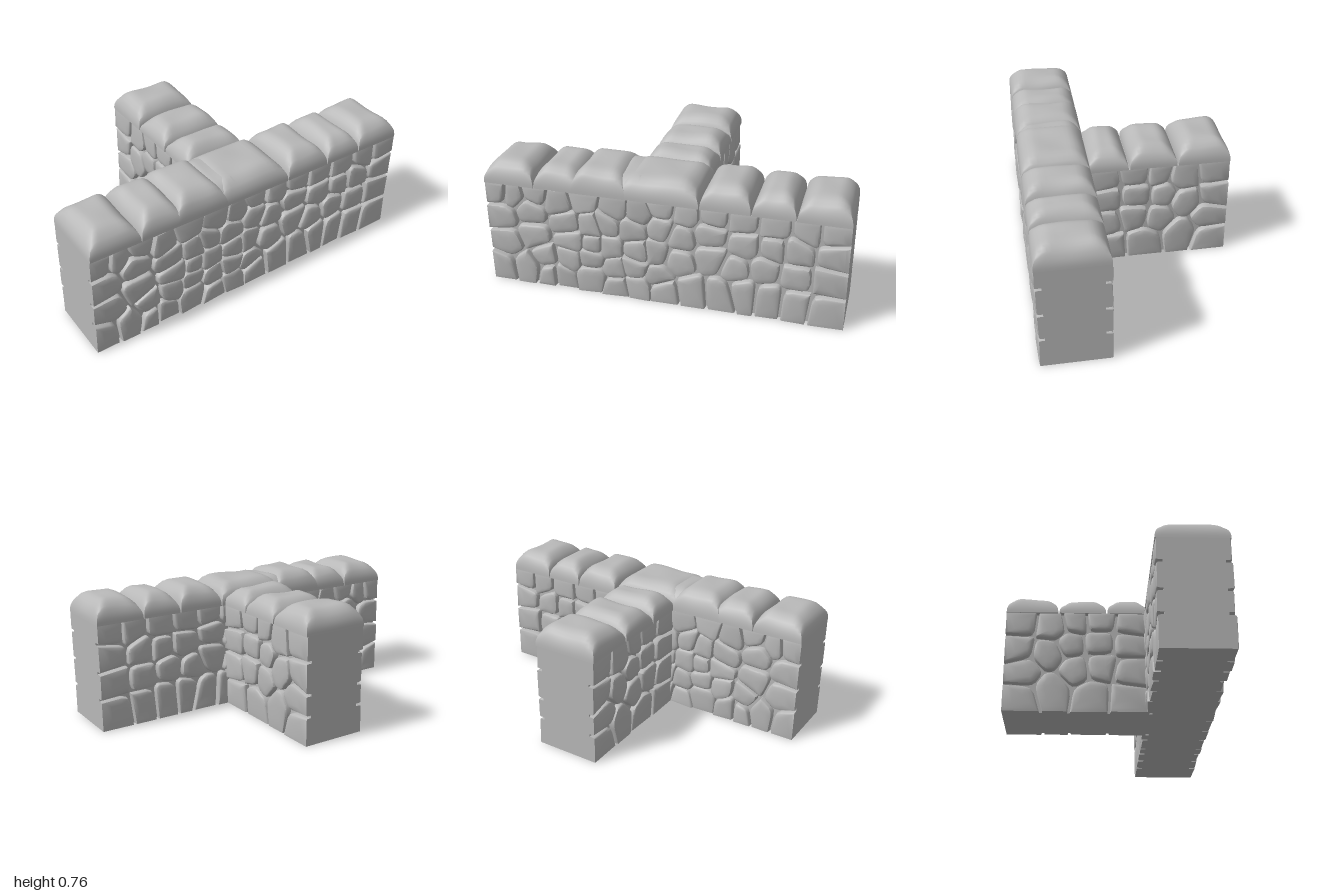
import * as THREE from 'three';
import { mergeGeometries, toCreasedNormals } from 'three/addons/utils/BufferGeometryUtils.js';

const WALL_H = 0.615;

function makeRandom(seed) {
  return () => {
    seed = (seed * 16807) % 2147483647;
    return seed / 2147483647;
  };
}

// Keep the side of a polygon nearer to seed a than b, leaving half a joint free
function clipCell(poly, a, b, gap) {
  const dx = b[0] - a[0], dy = b[1] - a[1], len = Math.hypot(dx, dy);
  const side = (p) => ((p[0] - (a[0] + b[0]) / 2) * dx + (p[1] - (a[1] + b[1]) / 2) * dy) / len + gap / 2;
  const out = [];
  poly.forEach((p, i) => {
    const q = poly[(i + 1) % poly.length], sp = side(p), sq = side(q);
    if (sp <= 0) out.push(p);
    if (sp * sq < 0) {
      const t = sp / (sp - sq);
      out.push([p[0] + (q[0] - p[0]) * t, p[1] + (q[1] - p[1]) * t]);
    }
  });
  return out;
}

// One domed stone from rings that shrink as they rise off the core
function stoneGeometry(cell, u0, u1, rough, rnd) {
  const edge = (v, a, b) => Math.abs(v - a) < 1e-5 || Math.abs(v - b) < 1e-5;
  const outline = [];
  cell.forEach((p, i) => {
    if (edge(p[0], u0, u1) || edge(p[1], 0, WALL_H)) return outline.push(p);
    const a = cell[(i + cell.length - 1) % cell.length], b = cell[(i + 1) % cell.length];
    for (const t of [0, 0.5, 1]) {
      const wa = 0.28 * (1 - t) ** 2, wb = 0.28 * t * t;
      outline.push([0, 1].map((k) => p[k] + (a[k] - p[k]) * wa + (b[k] - p[k]) * wb));
    }
  });
  const n = outline.length;
  const c = [0, 1].map((k) => outline.reduce((s, p) => s + p[k], 0) / n);
  const tilt = rough ? 0.16 : 0.06;
  const tu = (rnd() - 0.5) * tilt, ty = (rnd() - 0.5) * tilt, lift = (rnd() - 0.5) * (rough ? 0.01 : 0.004);
  const pos = [], index = [];
  const rings = [[1, 0], [0.985, 0.024], [0.94, 0.032], [0.82, 0.036], [0.5, 0.039]];
  for (const [s, h] of rings) {
    for (const p of outline) {
      const u = s > 0.9 && edge(p[0], u0, u1) ? p[0] : c[0] + (p[0] - c[0]) * s;
      const y = s > 0.9 && edge(p[1], 0, WALL_H) ? p[1] : c[1] + (p[1] - c[1]) * s;
      pos.push(u, y, h ? h + lift + (u - c[0]) * tu + (y - c[1]) * ty : 0);
    }
  }
  pos.push(c[0], c[1], 0.04 + lift);
  for (let r = 0; r < rings.length; r++) {
    for (let i = 0; i < n; i++) {
      const a = r * n + i, b = r * n + (i + 1) % n;
      if (r === rings.length - 1) index.push(a, b, rings.length * n);
      else index.push(a, b, b + n, a, b + n, a + n);
    }
  }
  const geo = new THREE.BufferGeometry();
  geo.setAttribute('position', new THREE.Float32BufferAttribute(pos, 3));
  geo.setIndex(index);
  return toCreasedNormals(geo, 0.75);
}

// A face of fitted stones; seeds are [u, y, rough]
function stoneFace(name, seeds, u0, u1, material, rnd) {
  const geos = [];
  for (const a of seeds) {
    let cell = [[u0, 0], [u1, 0], [u1, WALL_H], [u0, WALL_H]];
    for (const b of seeds) {
      if (b !== a && cell.length) cell = clipCell(cell, a, b, a[2] && b[2] ? 0.002 : 0.014);
    }
    if (cell.length > 2) geos.push(stoneGeometry(cell, u0, u1, a[2], rnd));
  }
  const mesh = new THREE.Mesh(mergeGeometries(geos), material);
  mesh.name = name;
  return mesh;
}

// Rounded coping stone: a box whose top is domed and sides lean in
function copingGeometry(w, top, d, rnd) {
  const h = top - WALL_H;
  const geo = new THREE.BoxGeometry(w, 1, d, 14, 6, 14);
  const p = geo.attributes.position;
  const f1 = rnd() * 6, f2 = rnd() * 6, slope = (rnd() - 0.5) * 0.012;
  for (let i = 0; i < p.count; i++) {
    const x = p.getX(i), z = p.getZ(i), t = p.getY(i) + 0.5;
    const ex = Math.max(0, Math.abs(x) - w / 2 + 0.08) / 0.08;
    const ez = Math.max(0, Math.abs(z) - d / 2 + 0.08) / 0.08;
    const drop = 0.035 * Math.min(1.4, Math.hypot(ex * ex, ez * ez));
    const bump = 0.005 * Math.sin(x * 17 + f1) * Math.cos(z * 15 + f2) + slope * x / w;
    const lean = 0.028 * t ** 2.5;
    p.setXYZ(i, x * (1 - 2 * lean / w), WALL_H + t * (h - drop + bump), z * (1 - 2 * lean / d));
  }
  geo.deleteAttribute('uv');
  return toCreasedNormals(geo, 0.85);
}

export function createModel() {
  const group = new THREE.Group();
  const stone = new THREE.MeshStandardMaterial({ color: 0xb8b8b8 });
  stone.name = 'grey stone';
  const rnd = makeRandom(4711);

  // Solid cores behind the stones
  const addCore = (name, w, d, x, z) => {
    const mesh = new THREE.Mesh(new THREE.BoxGeometry(w, WALL_H, d), stone);
    mesh.position.set(x, WALL_H / 2, z);
    mesh.name = name;
    group.add(mesh);
  };
  addCore('mainWallCore', 2, 0.312, 0, 0.394);
  addCore('branchWallCore', 0.312, 0.85, -0.004, -0.175);

  // Stone layout along the main wall: regular ends, broken-up middle
  const mainSeeds = [
    [-0.93, 0.56], [-0.92, 0.41], [-0.9, 0.25], [-0.95, 0.08], [-0.75, 0.46], [-0.85, 0.55],
    [-0.71, 0.58], [-0.74, 0.31], [-0.79, 0.1], [-0.68, 0.18], [-0.65, 0.07],
    [0.29, 0.58], [0.27, 0.46], [0.11, 0.42], [0.1, 0.27], [0.28, 0.32], [0.45, 0.57], [0.46, 0.43],
    [0.61, 0.56], [0.61, 0.43], [0.79, 0.56], [0.73, 0.43], [0.91, 0.56], [0.93, 0.43], [0.57, 0.29],
    [0.73, 0.27], [0.91, 0.27], [0.41, 0.27], [0.33, 0.11], [0.45, 0.14], [0.6, 0.13], [0.73, 0.12],
    [0.9, 0.1], [0.17, 0.1], [0.14, 0.57],
  ];
  for (let i = 0; i < 5; i++) {
    for (let j = 0; j < 5; j++) {
      mainSeeds.push([-0.55 + i * 0.135 + (rnd() - 0.5) * 0.09, 0.06 + j * 0.125 + (rnd() - 0.5) * 0.07, true]);
    }
  }
  const branchSeeds = [
    [0.135, 0.54], [-0.07, 0.57], [-0.19, 0.56], [-0.33, 0.53], [-0.52, 0.55], [0.12, 0.43],
    [-0.07, 0.43], [-0.22, 0.42], [-0.35, 0.36], [-0.53, 0.39], [0.12, 0.24], [-0.06, 0.28],
    [-0.19, 0.26], [-0.33, 0.13], [-0.49, 0.24], [-0.5, 0.08], [0.1, 0.09], [-0.1, 0.1],
  ];
  const flip = (seeds) => seeds.map(([u, y, r]) => [-u, y, r]);

  const addFace = (name, seeds, u0, u1, angle, x, z) => {
    const mesh = stoneFace(name, seeds, u0, u1, stone, rnd);
    mesh.rotation.y = angle;
    mesh.position.set(x, 0, z);
    group.add(mesh);
  };
  addFace('frontStones', mainSeeds, -1, 1, 0, 0, 0.55);
  addFace('backStonesLeft', flip(mainSeeds), -1, -0.18, Math.PI, 0, 0.238);
  addFace('backStonesRight', flip(mainSeeds), 0.18, 1, Math.PI, 0, 0.238);
  addFace('branchStonesLeft', flip(branchSeeds), -0.22, 0.6, Math.PI / 2, 0.152, 0);
  addFace('branchStonesRight', branchSeeds, -0.6, 0.22, -Math.PI / 2, -0.16, 0);

  // Coping stones along the main wall: start, end, top
  const addCoping = (name, w, top, d, x, z) => {
    const mesh = new THREE.Mesh(copingGeometry(w, top, d, rnd), stone);
    mesh.position.set(x, 0, z);
    mesh.name = name;
    group.add(mesh);
  };
  [
    [-1, -0.712, 0.742], [-0.708, -0.45, 0.742], [-0.495, -0.19, 0.755], [-0.3, -0.05, 0.732],
    [-0.235, 0.21, 0.74], [0.215, 0.485, 0.748], [0.49, 0.718, 0.742], [0.722, 1, 0.744],
  ].forEach(([a, b, top], i) => addCoping('mainCoping' + (i + 1), b - a, top, 0.385, (a + b) / 2, 0.394));

  // Coping stones along the branch
  [[-0.6, -0.3, 0.742], [-0.293, -0.022, 0.732], [-0.014, 0.215, 0.732]]
    .forEach(([a, b, top], i) => addCoping('branchCoping' + (i + 1), 0.385, top, b - a, -0.004, (a + b) / 2));

  return group;
}
